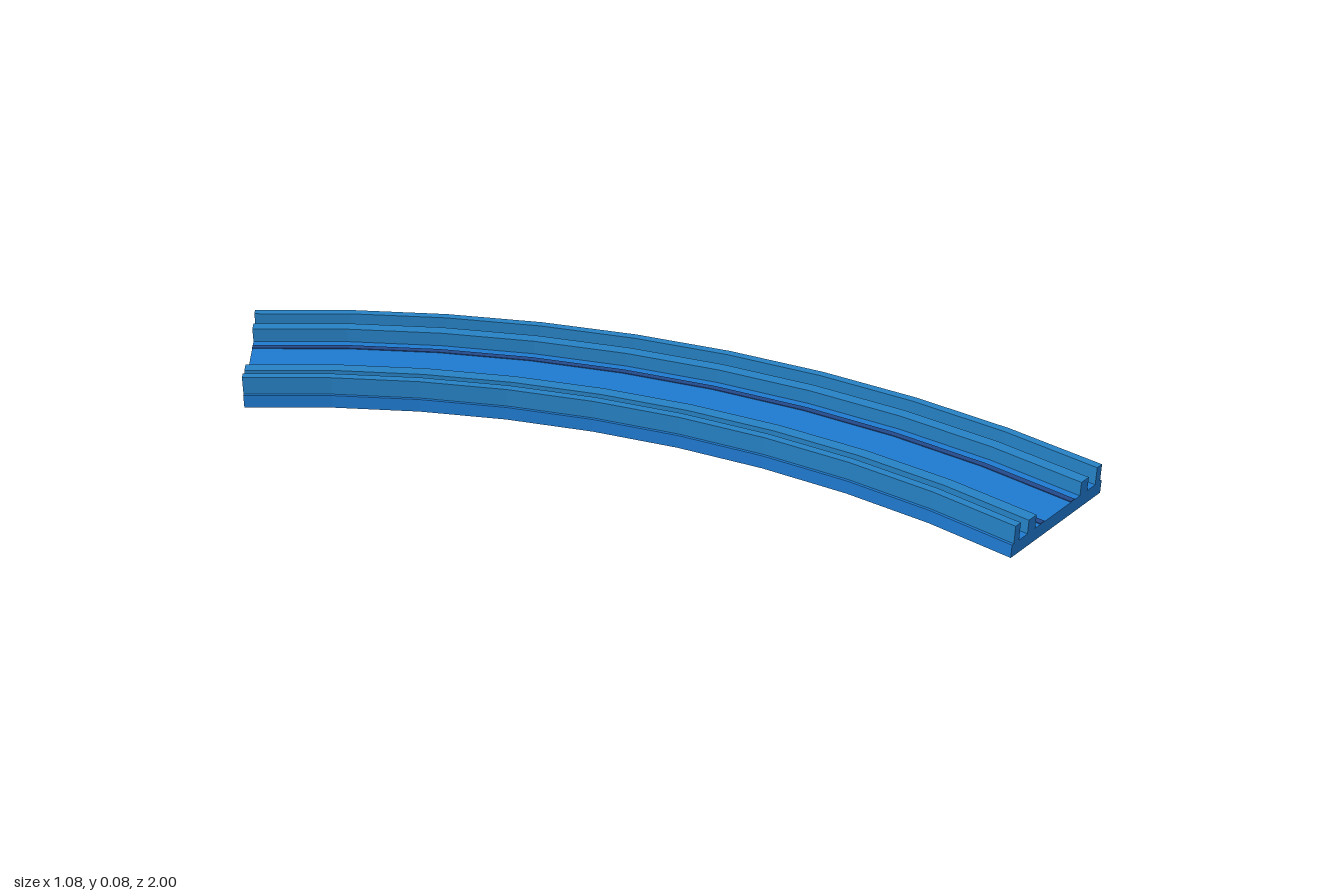
import * as THREE from 'three';

const SWEEP = Math.PI / 4;   // the track turns 45 degrees
const SEGMENTS = 9;
const MID_RADIUS = 2.648;    // radius of the centre line
const HALF_WIDTH = 0.18;
const FLOOR = 0.034;

const bedBlue = new THREE.MeshStandardMaterial({ color: 0x1f7ad0 });
bedBlue.name = 'bed blue';
const railBlue = new THREE.MeshStandardMaterial({ color: 0x2681c4 });
railBlue.name = 'rail blue';
const stripeBlue = new THREE.MeshStandardMaterial({ color: 0x23498a });
stripeBlue.name = 'stripe blue';

// Curved bar of rectangular section, between two offsets from the centre line
function curvedBar(name, from, to, y0, y1, material, capMaterial = material) {
  const group = new THREE.Group();
  group.name = name;
  const r0 = MID_RADIUS + from, r1 = MID_RADIUS + to;
  const section = [[r0, y0], [r1, y0], [r1, y1], [r0, y1], [r0, y0]]
    .map(([r, y]) => new THREE.Vector2(r, y));

  // faceted sides
  const sides = new THREE.LatheGeometry(section, SEGMENTS, Math.PI / 2, SWEEP).toNonIndexed();
  sides.computeVertexNormals();
  const body = new THREE.Mesh(sides, material);
  body.name = name + 'Body';
  group.add(body);

  // flat ends
  for (const far of [false, true]) {
    const cap = new THREE.PlaneGeometry(r1 - r0, y1 - y0);
    if (far) cap.rotateY(Math.PI);
    cap.translate((r0 + r1) / 2, (y0 + y1) / 2, 0);
    if (far) cap.rotateY(SWEEP);
    const end = new THREE.Mesh(cap, capMaterial);
    end.name = name + (far ? 'BackEnd' : 'FrontEnd');
    group.add(end);
  }
  return group;
}

export function createModel() {
  const model = new THREE.Group();
  model.name = 'curvedTrack';
  const track = new THREE.Group();
  track.name = 'track';
  model.add(track);

  track.add(curvedBar('bed', -HALF_WIDTH, HALF_WIDTH, 0, FLOOR, bedBlue));

  // Rails and painted stripes, mirrored about the centre line
  for (const side of [-1, 1]) {
    const prefix = side < 0 ? 'inside' : 'outside';
    const add = (name, a, b, top, ...materials) => track.add(curvedBar(
      prefix + name, Math.min(a * side, b * side), Math.max(a * side, b * side), FLOOR, top, ...materials));
    add('EdgeRail', 0.153, 0.173, 0.08, railBlue, bedBlue);
    add('InnerRail', 0.09, 0.12, 0.07, railBlue, bedBlue);
    add('Stripe', 0.053, 0.069, FLOOR + 0.002, stripeBlue);
  }

  // Put the centre of the curve so that the track is centred
  track.position.set(HALF_WIDTH * 3 - MID_RADIUS - HALF_WIDTH, 0, 1);
  return model;
}
